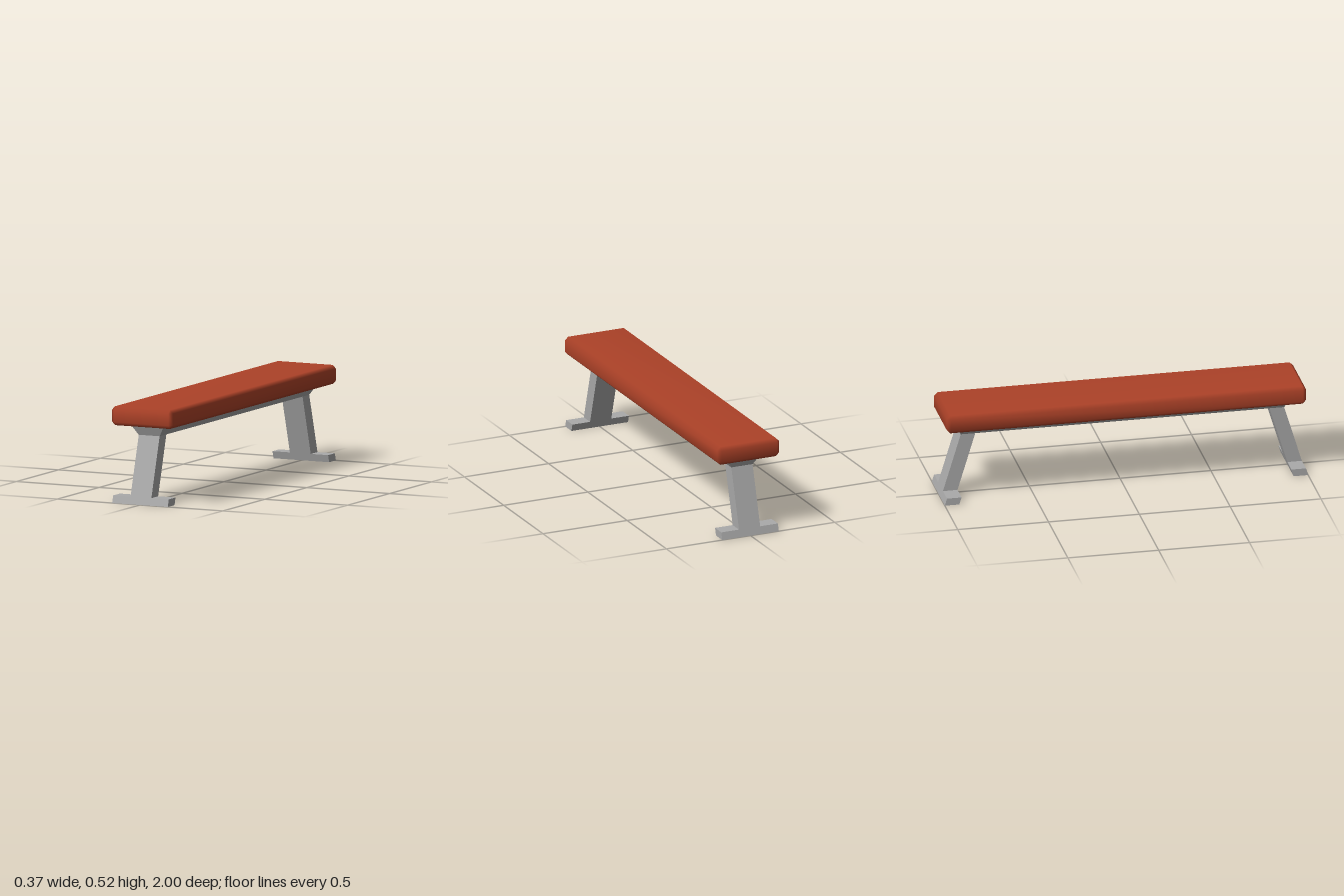
import * as THREE from 'three';
import { mergeVertices } from 'three/addons/utils/BufferGeometryUtils.js';
import { ConvexGeometry } from 'three/addons/geometries/ConvexGeometry.js';

// Move every vertex by a rule, then refresh the normals
function reshape(geometry, rule) {
  const pos = geometry.attributes.position;
  const v = new THREE.Vector3();
  for (let i = 0; i < pos.count; i++) {
    rule(v.fromBufferAttribute(pos, i));
    pos.setXYZ(i, v.x, v.y, v.z);
  }
  geometry.computeVertexNormals();
  return geometry;
}

// Box with all edges bevelled, shaded smoothly across the bevels
function bevelledBox(hx, hy, hz, b) {
  const points = [];
  for (const sx of [-1, 1]) for (const sy of [-1, 1]) for (const sz of [-1, 1]) {
    points.push(
      new THREE.Vector3(sx * hx, sy * (hy - b), sz * (hz - b)),
      new THREE.Vector3(sx * (hx - b), sy * hy, sz * (hz - b)),
      new THREE.Vector3(sx * (hx - b), sy * (hy - b), sz * hz));
  }
  const hull = new ConvexGeometry(points);
  hull.deleteAttribute('normal');
  const geometry = mergeVertices(hull);
  geometry.computeVertexNormals();
  return geometry;
}

export function createModel() {
  const model = new THREE.Group();
  model.name = 'bench';
  const upholstery = new THREE.MeshStandardMaterial({ color: 0xad4228 });
  upholstery.name = 'red upholstery';
  const metal = new THREE.MeshStandardMaterial({ color: 0xaaaaaa });
  metal.name = 'grey metal';

  const add = (name, geometry, material) => {
    const mesh = new THREE.Mesh(geometry, material);
    mesh.name = name;
    model.add(mesh);
    return mesh;
  };

  // Padded seat
  add('seatPad', bevelledBox(0.184, 0.0515, 0.988, 0.019), upholstery).position.y = 0.4715;

  // Beam under the seat, wider at the top
  const beam = reshape(new THREE.BoxGeometry(2, 1, 2), (v) => {
    const top = v.y > 0;
    v.set(v.x * (top ? 0.1 : 0.063), top ? 0.421 : 0.364, v.z * (top ? 0.915 : 0.89));
  });
  add('beam', beam, metal);

  // Inverted T legs, leaning outwards to the foot
  const outline = new THREE.Shape([
    [-0.168, 0], [0.168, 0], [0.168, 0.04], [0.063, 0.04],
    [0.063, 0.364], [-0.063, 0.364], [-0.063, 0.04], [-0.168, 0.04],
  ].map(([x, y]) => new THREE.Vector2(x, y)));
  const leg = reshape(
    new THREE.ExtrudeGeometry(outline, { depth: 0.08, bevelEnabled: false }),
    (v) => { v.z += 0.92 - v.y * 0.302; });
  add('frontLeg', leg, metal);
  add('backLeg', leg, metal).rotation.y = Math.PI;

  return model;
}
